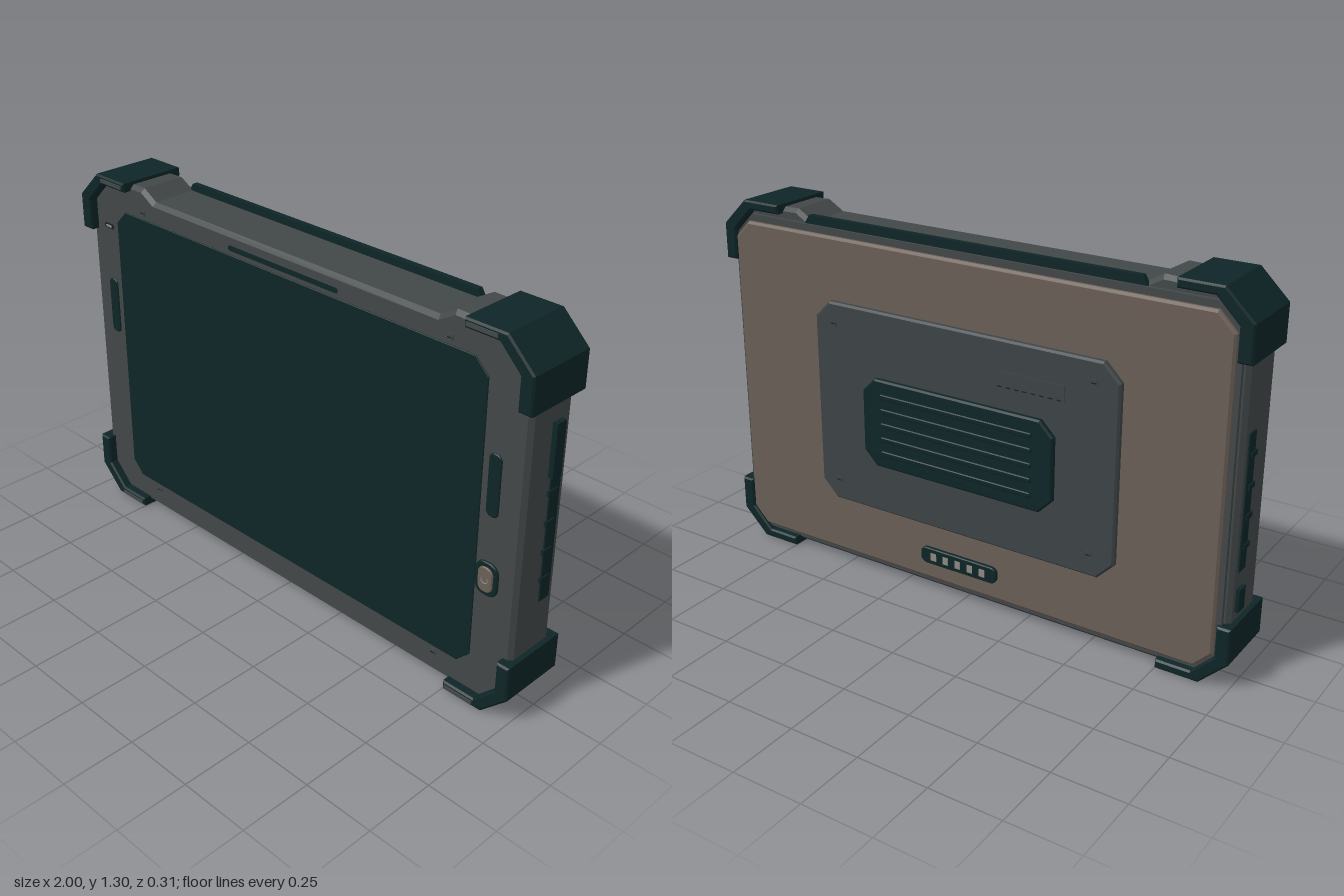
import * as THREE from 'three';

const mat = (name, color) => {
  const m = new THREE.MeshStandardMaterial({ color });
  m.name = name;
  return m;
};

// Closed shape from points
const poly = (pts) => new THREE.Shape(pts.map(([x, y]) => new THREE.Vector2(x, y)));

// Rectangle with cut corners, centred on cx, cy
const cutRect = (cx, cy, w, h, c) => {
  const x = w / 2, y = h / 2;
  return poly([[-x + c, -y], [x - c, -y], [x, -y + c], [x, y - c], [x - c, y], [-x + c, y], [-x, y - c], [-x, -y + c]]
    .map(([px, py]) => [cx + px, cy + py]));
};

// Rectangle with round corners, centred on cx, cy
const roundRect = (cx, cy, w, h, r) => {
  const s = new THREE.Shape(), x = w / 2 - r, y = h / 2 - r;
  s.absarc(cx + x, cy + y, r, 0, Math.PI / 2);
  s.absarc(cx - x, cy + y, r, Math.PI / 2, Math.PI);
  s.absarc(cx - x, cy - y, r, Math.PI, Math.PI * 1.5);
  s.absarc(cx + x, cy - y, r, Math.PI * 1.5, Math.PI * 2);
  s.closePath();
  return s;
};

export function createModel() {
  const model = new THREE.Group();
  model.name = 'ruggedTablet';
  const rubber = mat('darkRubber', 0x0e2527);
  const grey = mat('caseGrey', 0x424747);
  const panelGrey = mat('panelGrey', 0x3d4446);
  const brown = mat('backBrown', 0x6a5f56);
  const metal = mat('contactMetal', 0x8c8a82);

  const add = (name, geo, material, parent = model) => {
    const mesh = new THREE.Mesh(geo, material);
    mesh.name = name;
    parent.add(mesh);
    return mesh;
  };
  // Slab between two depths, with an optional bevel kept inside the outline
  const slab = (name, shape, z0, z1, material, b = 0) => {
    const geo = new THREE.ExtrudeGeometry(shape, {
      depth: z1 - z0 - 2 * b, bevelEnabled: b > 0, bevelThickness: b,
      bevelSize: b, bevelOffset: -b, bevelSegments: 1, curveSegments: 6,
    });
    geo.translate(0, 0, z0 + b);
    return add(name, geo, material);
  };
  const box = (name, x, y, z, w, h, d, material) => {
    const geo = new THREE.BoxGeometry(w, h, d);
    geo.translate(x, y, z);
    return add(name, geo, material);
  };
  const screw = (name, x, y, z, material) => {
    const geo = new THREE.CylinderGeometry(0.013, 0.013, 0.008, 16);
    geo.rotateX(Math.PI / 2);
    geo.translate(x, y, z);
    add(name, geo, material);
    box(name + 'Slot', x, y, z + Math.sign(z) * 0.004, 0.016, 0.004, 0.002, rubber);
  };

  // Case with raised shoulders beside the lowered top edge
  slab('caseBody', poly([
    [-0.89, 0.012], [0.89, 0.012], [0.98, 0.105], [0.98, 1.2], [0.89, 1.285], [0.69, 1.29],
    [0.63, 1.255], [-0.63, 1.255], [-0.69, 1.29], [-0.89, 1.285], [-0.98, 1.2], [-0.98, 0.105],
  ]), -0.075, 0.115, grey, 0.014);
  slab('topStrip', poly([[-0.66, 1.23], [0.66, 1.23], [0.63, 1.28], [-0.63, 1.28]]), -0.082, -0.062, rubber);

  // Back cover in two steps
  slab('backLip', cutRect(0, 0.645, 1.92, 1.21, 0.08), -0.09, -0.07, grey);
  slab('backCover', cutRect(0, 0.642, 1.89, 1.17, 0.06), -0.11, -0.085, brown, 0.008);

  // Corner guards, mirrored to all four corners
  const guard = [[0.75, 1.3], [0.75, 1.268], [0.872, 1.268], [0.95, 1.19], [0.95, 1.08], [0.998, 1.08], [0.998, 1.205], [0.9, 1.3]];
  for (const sx of [-1, 1]) {
    for (const top of [true, false]) {
      const tag = (top ? 'upper' : 'lower') + (sx > 0 ? 'Left' : 'Right');
      const pts = guard.map(([x, y]) => [sx * x, top ? y : 1.3 - y]);
      slab(tag + 'CornerGuard', poly(pts), -0.107, 0.148, rubber, 0.006);
      box(tag + 'GuardInlay', sx * 0.815, top ? 1.284 : 0.016, 0.15, 0.11, 0.012, 0.006, grey);
    }
  }

  // Front face
  slab('screen', cutRect(-0.005, 0.648, 1.66, 1.066, 0.05), 0.112, 0.119, rubber, 0.002);
  slab('speakerSlot', roundRect(-0.005, 1.205, 0.49, 0.017, 0.008), 0.112, 0.118, rubber);
  slab('statusLight', roundRect(-0.885, 1.105, 0.05, 0.018, 0.0085), 0.112, 0.118, rubber);
  slab('statusLightLens', roundRect(-0.885, 1.105, 0.03, 0.008, 0.0035), 0.117, 0.12, metal);
  for (const x of [-0.883, 0.87]) {
    slab('frontGrip', roundRect(x, 0.798, 0.046, 0.212, 0.02), 0.112, 0.12, rubber, 0.003);
  }
  slab('homeButtonFrame', roundRect(0.87, 0.475, 0.085, 0.118, 0.034), 0.112, 0.123, rubber, 0.003);
  slab('homeButton', roundRect(0.87, 0.475, 0.055, 0.088, 0.024), 0.118, 0.129, brown, 0.003);
  const mark = new THREE.TorusGeometry(0.012, 0.002, 6, 16, Math.PI * 1.4);
  mark.rotateZ(Math.PI * 0.8);
  mark.translate(0.87, 0.475, 0.129);
  add('homeButtonRing', mark, metal);
  for (const x of [-0.688, 0.68]) for (const y of [0.092, 1.205]) screw('frontScrew', x, y, 0.116, grey);

  // Raised panel on the back with screws, label and ribbed grip
  slab('backPanel', cutRect(-0.01, 0.64, 1.18, 0.735, 0.06), -0.13, -0.1, panelGrey, 0.007);
  for (const x of [-0.51, 0.5]) for (const y of [0.35, 0.935]) screw('panelScrew', x, y, -0.131, panelGrey);
  slab('labelPlate', cutRect(-0.28, 0.873, 0.26, 0.06, 0.004), -0.134, -0.129, panelGrey);
  for (let i = 0; i < 8; i++) box('labelDash', -0.39 + i * 0.031, 0.852, -0.134, 0.016, 0.004, 0.002, rubber);
  slab('gripPad', cutRect(-0.005, 0.615, 0.75, 0.32, 0.05), -0.15, -0.125, rubber, 0.006);
  for (let i = 0; i < 5; i++) {
    slab('gripRib', roundRect(-0.005, 0.511 + i * 0.052, 0.6, 0.018, 0.008), -0.158, -0.148, rubber, 0.003);
  }

  // Docking connector
  slab('dockConnector', roundRect(0, 0.152, 0.31, 0.06, 0.022), -0.124, -0.105, rubber, 0.003);
  for (let i = -2; i <= 2; i++) box('dockContact', i * 0.05, 0.152, -0.124, 0.022, 0.028, 0.005, metal);

  // Side port covers with pull tabs
  for (const sx of [-1, 1]) {
    box('sidePortCover', sx * 0.979, 0.62, -0.02, 0.012, 0.46, 0.046, rubber);
    for (const y of [0.47, 0.57, 0.67, 0.775]) box('portTab', sx * 0.982, y, -0.008, 0.014, 0.018, 0.04, rubber);
  }
  box('powerButton', 0.985, 0.92, -0.006, 0.024, 0.18, 0.042, rubber);
  box('sideSocket', -0.982, 0.29, -0.02, 0.02, 0.08, 0.046, rubber);

  return model;
}
